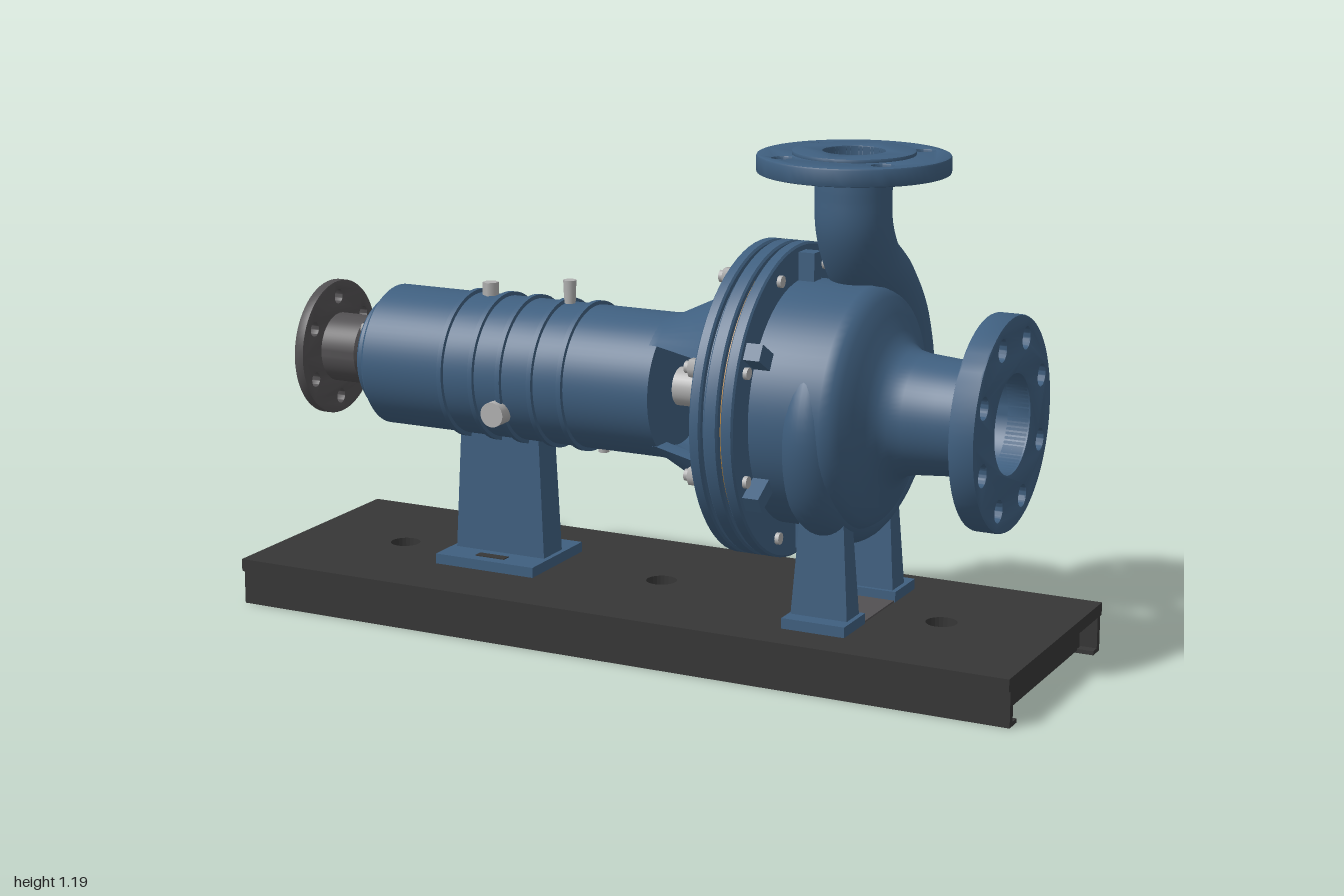
import * as THREE from 'three';
import { toCreasedNormals } from 'three/addons/utils/BufferGeometryUtils.js';

const AXIS = 0.6; // height of the shaft line
const TAU = Math.PI * 2;
const colour = (name, hex) => {
  const m = new THREE.MeshStandardMaterial({ color: hex });
  m.name = name;
  return m;
};

export function createModel() {
  const blue = colour('blue paint', 0x3f5f7f);
  const black = colour('black steel', 0x363636);
  const grey = colour('dark grey iron', 0x525052);
  const steel = colour('bright steel', 0xb0b0b0);
  const bronze = colour('bronze', 0xb5813a);
  const model = new THREE.Group();

  // ---- helpers ----
  const add = (name, geo, mat, x = 0, y = 0, z = 0) => {
    const mesh = new THREE.Mesh(geo, mat);
    mesh.name = name;
    mesh.position.set(x, y, z);
    model.add(mesh);
    return mesh;
  };
  const box = (name, mat, x0, x1, y0, y1, z0, z1) =>
    add(name, new THREE.BoxGeometry(x1 - x0, y1 - y0, z1 - z0), mat, (x0 + x1) / 2, (y0 + y1) / 2, (z0 + z1) / 2);
  // turned part around the shaft line, profile of [x, radius] with rising x outside
  const turned = (name, mat, pts) => {
    const g = new THREE.LatheGeometry(pts.map(([x, r]) => new THREE.Vector2(r, x)), 72);
    return add(name, toCreasedNormals(g.rotateZ(-Math.PI / 2), 0.55), mat, 0, AXIS, 0);
  };
  // rod along x, sides = 6 gives a hex head
  const rod = (name, mat, x0, x1, r, y = AXIS, z = 0, sides = 32) =>
    add(name, new THREE.CylinderGeometry(r, r, x1 - x0, sides).rotateZ(-Math.PI / 2), mat, (x0 + x1) / 2, y, z);
  // drilled disc, lying in xy and rising along z
  const disc = (R, bore, thick, n = 0, ringR = 0, holeR = 0, bevel = 0.005) => {
    const s = new THREE.Shape().absarc(0, 0, R, 0, TAU);
    const hole = (x, y, r) => s.holes.push(new THREE.Path().absarc(x, y, r, 0, TAU, true));
    if (bore) hole(0, 0, bore);
    for (let i = 0; i < n; i++) {
      const a = (i + 0.5) / n * TAU;
      hole(ringR * Math.cos(a), ringR * Math.sin(a), holeR);
    }
    const g = new THREE.ExtrudeGeometry(s, {
      depth: thick - 2 * bevel, bevelThickness: bevel, bevelSize: bevel, bevelOffset: -bevel,
      bevelSegments: 2, curveSegments: 32,
    });
    return toCreasedNormals(g.translate(0, 0, bevel), 0.5);
  };
  // skin through closed rings of points
  const loft = (rings) => {
    const n = rings[0].length, idx = [];
    for (let i = 0; i < rings.length - 1; i++) for (let j = 0; j < n; j++) {
      const a = i * n + j, b = i * n + (j + 1) % n;
      idx.push(a, b, a + n, b, b + n, a + n);
    }
    const g = new THREE.BufferGeometry().setFromPoints(rings.flat());
    g.setIndex(idx);
    return toCreasedNormals(g, 0.6);
  };
  // tapered post standing at x, z
  const post = (name, x, z, y0, y1, wx, wz, topX, topZ) => {
    const g = new THREE.BoxGeometry(1, y1 - y0, 1);
    const p = g.attributes.position;
    for (let i = 0; i < p.count; i++) {
      const top = p.getY(i) > 0;
      p.setX(i, p.getX(i) * (top ? topX : wx));
      p.setZ(i, p.getZ(i) * (top ? topZ : wz));
    }
    g.computeVertexNormals();
    return add(name, g, blue, x, (y0 + y1) / 2, z);
  };

  // ---- base frame: drilled plate, two side channels, end plates ----
  const plate = new THREE.Shape([[-1, -0.31], [1, -0.31], [1, 0.31], [-1, 0.31]].map(([x, y]) => new THREE.Vector2(x, y)));
  for (const x of [-0.72, 0, 0.72]) plate.holes.push(new THREE.Path().absarc(x, 0, 0.037, 0, TAU, true));
  add('basePlate', new THREE.ExtrudeGeometry(plate, { depth: 0.03, bevelEnabled: false }).rotateX(-Math.PI / 2), black, 0, 0.085, 0);
  for (const s of [-1, 1]) {
    const span = (a, b) => [Math.min(a * s, b * s), Math.max(a * s, b * s)];
    box('sideChannelWeb', black, -1, 1, 0, 0.085, ...span(0.282, 0.3));
    box('sideChannelLip', black, -1, 1, 0, 0.01, ...span(0.258, 0.3));
    box('endPlate', black, ...span(0.945, 0.96), 0.006, 0.085, -0.274, 0.274);
  }
  box('packingPlate', grey, 0.415, 0.565, 0.115, 0.119, -0.1, 0.1);

  // ---- feet ----
  box('bearingFootPad', blue, -0.555, -0.285, 0.115, 0.14, -0.125, 0.125);
  post('bearingFoot', -0.42, 0, 0.14, 0.5, 0.245, 0.09, 0.21, 0.08);
  for (const s of [-1, 1]) {
    box('bearingFootSlot', black, -0.46, -0.38, 0.139, 0.142, s * 0.085 - 0.012, s * 0.085 + 0.012);
    box('casingFootPad', blue, 0.412, 0.568, 0.115, 0.14, s * 0.15 - 0.06, s * 0.15 + 0.06);
    post('casingFoot', 0.487, s * 0.135, 0.14, 0.37, 0.14, 0.07, 0.108, 0.05);
  }

  // ---- bearing housing with ridges ----
  const housing = [[-0.735, 0], [-0.735, 0.162], [-0.725, 0.172]];
  for (const x of [-0.505, -0.42, -0.345, -0.26, -0.18])
    housing.push([x - 0.007, 0.172], [x - 0.006, 0.181], [x + 0.006, 0.181], [x + 0.007, 0.172]);
  housing.push([0.05, 0.172], [0.05, 0]);
  turned('bearingHousing', blue, housing);
  turned('bearingEndCap', blue, [[-0.766, 0], [-0.766, 0.132], [-0.758, 0.14], [-0.73, 0.14]]);
  for (let i = 0; i < 4; i++) {
    const a = (i + 0.5) / 4 * TAU;
    rod('endCapScrew', steel, -0.785, -0.76, 0.014, AXIS + 0.1 * Math.sin(a), 0.1 * Math.cos(a), 6);
  }
  add('fillerPlug', new THREE.CylinderGeometry(0.02, 0.02, 0.05, 6), steel, -0.463, 0.778, 0);
  add('breather', new THREE.CylinderGeometry(0.016, 0.013, 0.075, 20), steel, -0.245, 0.79, 0);
  add('drainPlug', new THREE.CylinderGeometry(0.013, 0.013, 0.04, 6), steel, -0.155, 0.435, 0);
  add('oilSightGlass', new THREE.CylinderGeometry(0.03, 0.03, 0.05, 32).rotateX(Math.PI / 2), steel, -0.355, 0.525, 0.165);

  // ---- shaft and coupling half ----
  rod('shaftEnd', steel, -0.91, -0.76, 0.045);
  rod('shaft', steel, 0.03, 0.2, 0.046);
  turned('couplingHub', grey, [[-0.905, 0.085], [-0.806, 0.085], [-0.8, 0.079], [-0.8, 0.04]]);
  add('couplingFlange', disc(0.167, 0.035, 0.025, 6, 0.127, 0.017, 0.003).rotateY(Math.PI / 2), grey, -0.925, AXIS, 0);

  // ---- lantern: two arms leaving a window on each side ----
  const windowHalf = 0.12;
  const armRing = (x, R, r) => {
    const ring = [], n = 20;
    for (const [rad, dir] of [[R, 1], [r, -1]]) {
      const p = Math.acos(windowHalf / rad) * dir;
      for (let i = 0; i <= n; i++) {
        const a = p * (2 * i / n - 1);
        ring.push(new THREE.Vector3(x, rad * Math.cos(a), rad * Math.sin(a)));
      }
    }
    return ring;
  };
  const arm = loft([armRing(0.03, 0.172, 0.14), armRing(0.05, 0.174, 0.14), armRing(0.26, 0.275, 0.235)]);
  add('lanternArmTop', arm, blue, 0, AXIS, 0);
  add('lanternArmBottom', arm, blue, 0, AXIS, 0).rotation.x = Math.PI;
  turned('sealCover', blue, [[0.155, 0], [0.155, 0.108], [0.162, 0.115], [0.256, 0.115]]);

  // ---- bolted main flange: three rings with a gasket ----
  const rings = [[0.252, 0]];
  for (const [a, b] of [[0.252, 0.28], [0.288, 0.322], [0.33, 0.36]])
    rings.push([a, 0.35], [a, 0.362], [a + 0.004, 0.367], [b - 0.004, 0.367], [b, 0.362], [b, 0.35]);
  rings.push([0.36, 0.2]);
  turned('mainFlange', blue, rings);
  turned('gasket', bronze, [[0.323, 0.352], [0.329, 0.352]]);
  for (let i = 0; i < 8; i++) {
    const a = (i + 0.5) / 8 * TAU;
    const y = AXIS + 0.325 * Math.sin(a), z = 0.325 * Math.cos(a);
    rod('flangeNut', steel, 0.226, 0.252, 0.023, y, z, 6);
    rod('flangeStud', steel, 0.214, 0.37, 0.014, y, z, 16);
  }
  for (let i = 0; i < 6; i++) {
    const a = (i + 0.5) / 6 * TAU;
    const rib = add('casingLug', new THREE.BoxGeometry(0.045, 0.04, 0.09), blue, 0.377, AXIS + 0.305 * Math.sin(a), 0.305 * Math.cos(a));
    rib.rotation.x = -a;
  }

  // ---- casing body and suction nozzle ----
  turned('casing', blue, [[0.35, 0.285], [0.53, 0.285], [0.552, 0.277], [0.568, 0.258], [0.585, 0.222], [0.6, 0.185],
    [0.615, 0.16], [0.635, 0.146], [0.665, 0.139], [0.74, 0.133], [0.83, 0.128]]);
  turned('suctionBore', blue, [[0.878, 0.114], [0.52, 0.114], [0.52, 0]]);
  add('suctionFlange', disc(0.247, 0.114, 0.06, 8, 0.198, 0.025).rotateY(Math.PI / 2), blue, 0.82, AXIS, 0);

  // ---- impeller hub seen through the suction ----
  rod('impellerHub', bronze, 0.515, 0.535, 0.09, AXIS, 0, 48);
  rod('impellerWasher', steel, 0.535, 0.542, 0.05);
  rod('impellerNut', steel, 0.542, 0.57, 0.042, AXIS, 0, 6);
  rod('impellerStud', steel, 0.57, 0.585, 0.02);
  for (let i = 0; i < 6; i++) {
    const a = i / 6 * TAU;
    rod('impellerScrew', steel, 0.535, 0.542, 0.009, AXIS + 0.073 * Math.sin(a), 0.073 * Math.cos(a), 12);
  }

  // ---- volute and discharge neck: [radius, y, z] along the flow, reversed ----
  const path = new THREE.CatmullRomCurve3([
    [0.088, 1.15, 0], [0.088, 1.09, 0], [0.088, 1.02, -0.006], [0.088, 0.935, -0.055], [0.09, 0.86, -0.15],
    [0.09, 0.75, -0.238], [0.09, 0.6, -0.275], [0.087, 0.466, -0.235], [0.084, 0.381, -0.127], [0.08, 0.355, 0],
    [0.075, 0.433, 0.167], [0.07, 0.6, 0.227], [0.06, 0.752, 0.152], [0.05, 0.8, 0],
  ].map((p) => new THREE.Vector3(...p)));
  const tube = [];
  for (let i = 0; i <= 110; i++) {
    const p = path.getPoint(i / 110), t = path.getTangent(i / 110);
    const len = Math.hypot(t.y, t.z), ring = [];
    for (let j = 0; j < 36; j++) {
      const a = j / 36 * TAU, c = p.x * Math.cos(a) / len;
      ring.push(new THREE.Vector3(0.485 + p.x * Math.sin(a), p.y - c * t.z, p.z + c * t.y));
    }
    tube.push(ring);
  }
  add('volute', loft(tube), blue);
  rod('casingDrainPlug', steel, 0.36, 0.38, 0.016, 0.262, 0, 6);

  // ---- discharge flange ----
  add('dischargeFlange', disc(0.22, 0.071, 0.042, 4, 0.17, 0.025).rotateX(-Math.PI / 2), blue, 0.485, 1.14, 0);
  add('dischargeRaisedFace', disc(0.14, 0.071, 0.012, 0, 0, 0, 0.002).rotateX(-Math.PI / 2), blue, 0.485, 1.178, 0);
  const bore = [[0.071, 1.188], [0.071, 1.02], [0, 1.02]].map(([r, y]) => new THREE.Vector2(r, y));
  add('dischargeBore', toCreasedNormals(new THREE.LatheGeometry(bore, 48), 0.5), blue, 0.485, 0, 0);

  return model;
}
